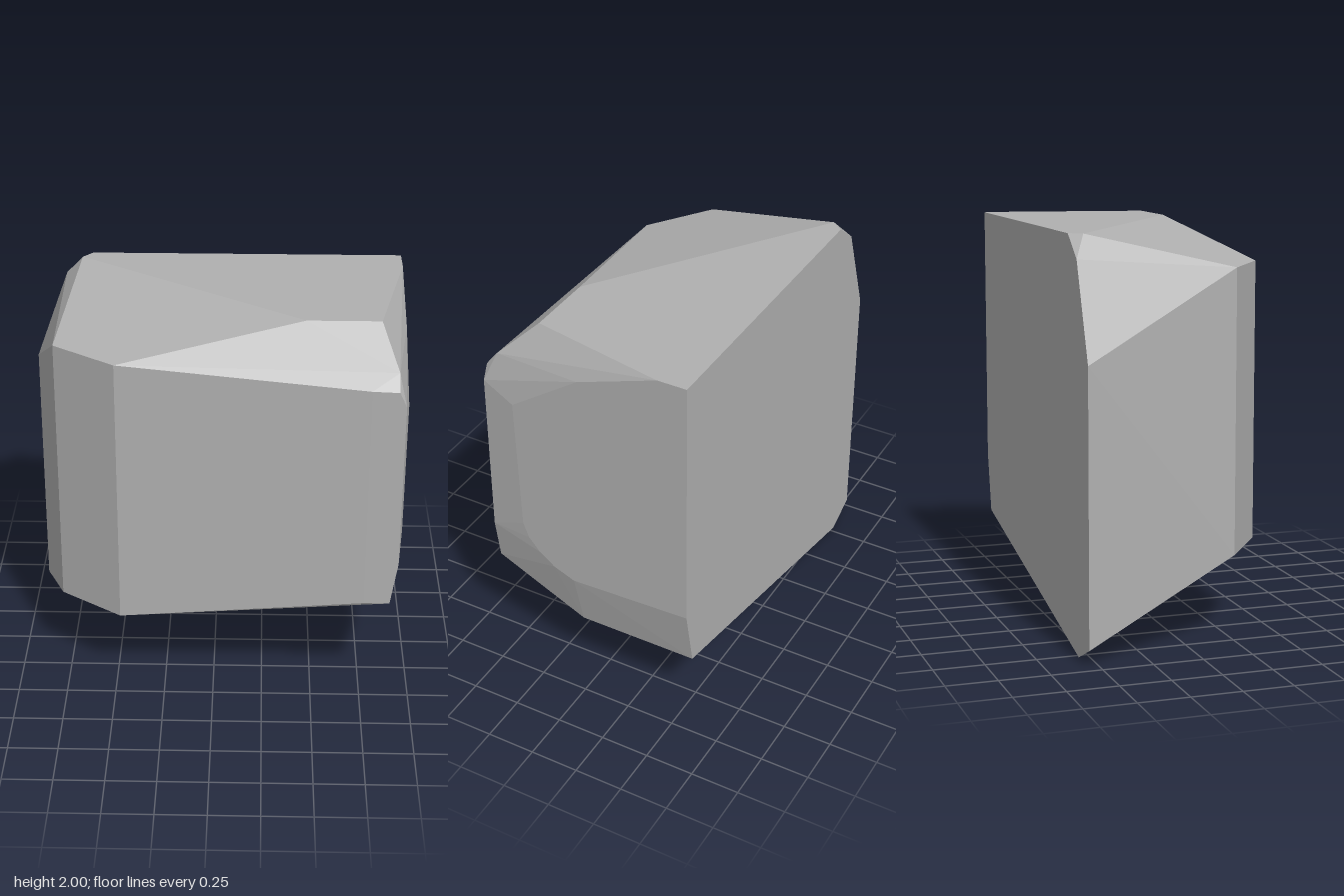
import * as THREE from 'three';
import { ConvexGeometry } from 'three/addons/geometries/ConvexGeometry.js';

export function createModel() {
  const group = new THREE.Group();
  group.name = 'rock';
  const stone = new THREE.MeshStandardMaterial({ color: 0xb0b0b0 });
  stone.name = 'grey stone';

  // Flat back: outline in x, y at z = -0.55
  const back = [
    [-0.95, 1.42], [-0.95, 0.08], [-0.78, 0], [0.88, 0.36],
    [0.94, 0.67], [0.94, 2], [-0.64, 2], [-0.78, 1.89],
  ].map(([x, y]) => [x, y, -0.55]);

  // Flat top: outline in x, z at y = 2
  const top = [[-0.69, -0.49], [0.44, 0.3], [0.8, 0.3], [0.94, -0.4]]
    .map(([x, z]) => [x, 2, z]);

  // Right side: rounded outline in y, z at x = 0.94
  const side = [
    [1.85, 0.02], [1.6, 0.38], [0.9, 0.36], [0.82, 0.33],
    [0.75, 0.27], [0.69, 0.19], [0.645, 0.08],
  ].map(([y, z]) => [0.94, y, z]);

  // Front corners and chipped edges
  const front = [
    [-0.78, 1.83, 0.24], [-0.78, 0.435, 0.24],
    [-0.47, 1.83, 0.46], [-0.47, 0.435, 0.46],
    [0.75, 1.75, 0.55], [0.88, 1.745, 0.55], [0.88, 1.82, 0.49],
    [0.915, 1.67, 0.55], [0.915, 0.81, 0.55],
    [0.88, 0.585, 0.55], [0.75, 0.585, 0.55],
    [0.88, 0.36, 0.07],
  ];

  // Faceted convex block through all the corners
  const corners = [...back, ...top, ...side, ...front]
    .map((p) => new THREE.Vector3(...p));
  const block = new THREE.Mesh(new ConvexGeometry(corners), stone);
  block.name = 'stoneBlock';
  group.add(block);
  return group;
}
